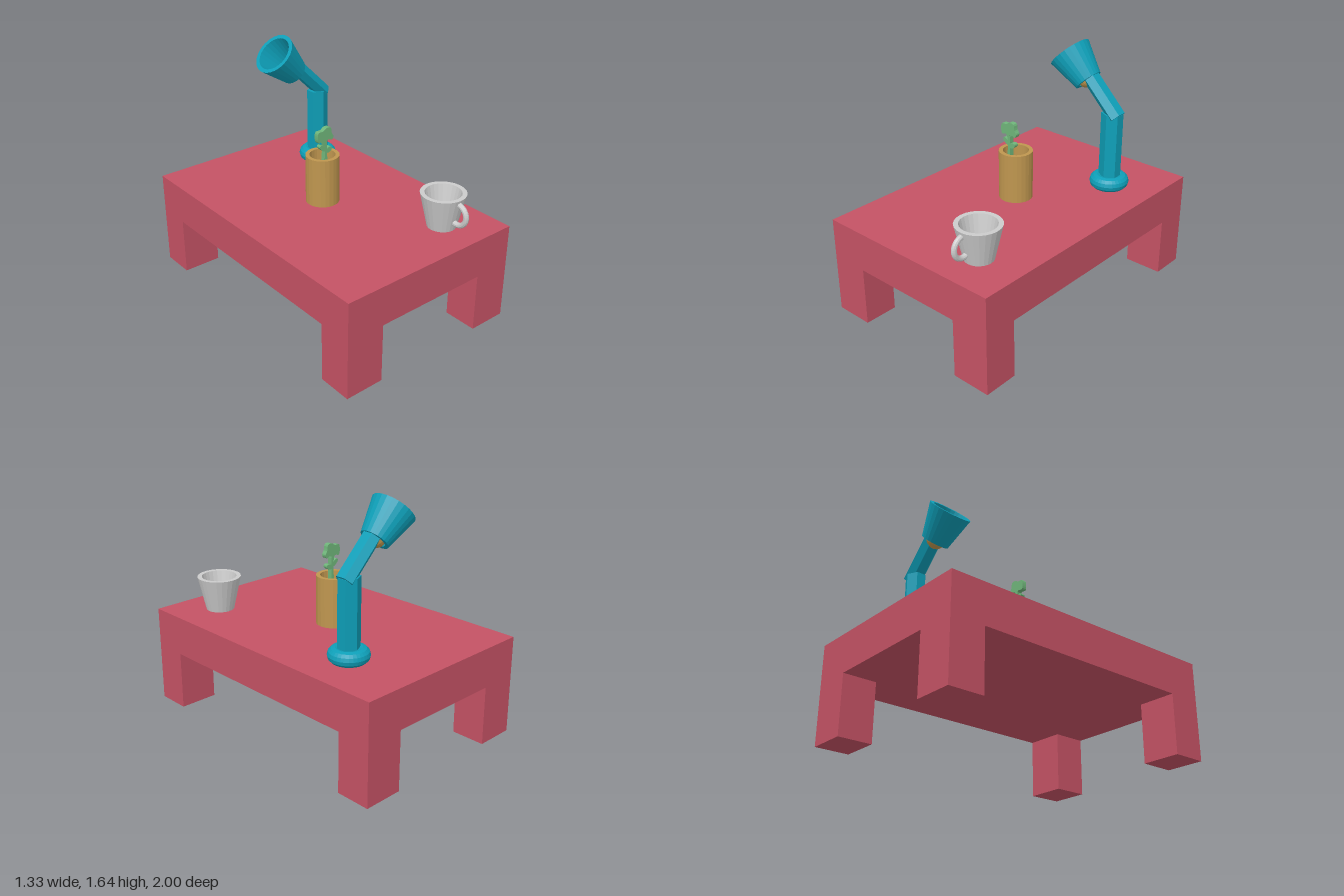
import * as THREE from 'three';

const material = (color) => new THREE.MeshStandardMaterial({ color, flatShading: true });
const red = material(0xc45264);
const teal = material(0x0e9fb8);
const gold = material(0xbf964f);
const green = material(0x6fb57a);
const grey = material(0xcccccc);

function add(parent, name, geometry, mat, x = 0, y = 0, z = 0) {
  const mesh = new THREE.Mesh(geometry, mat);
  mesh.name = name;
  mesh.position.set(x, y, z);
  parent.add(mesh);
  return mesh;
}

function group(parent, name, x = 0, y = 0, z = 0) {
  const g = new THREE.Group();
  g.name = name;
  g.position.set(x, y, z);
  parent.add(g);
  return g;
}

const lathe = (points, sides) =>
  new THREE.LatheGeometry(points.map(([r, y]) => new THREE.Vector2(r, y)), sides);

// Hexagonal bar with its base at the origin
const hexBar = (radius, length, xScale) =>
  new THREE.CylinderGeometry(radius, radius, length, 6).translate(0, length / 2, 0).scale(xScale, 1, 1);

function addTable(model) {
  const table = group(model, 'table');
  add(table, 'tableTop', new THREE.BoxGeometry(1.333, 0.267, 2), red, 0, 0.533, 0);
  for (const sx of [-1, 1]) for (const sz of [-1, 1]) {
    add(table, 'tableLeg', new THREE.BoxGeometry(0.267, 0.4, 0.233), red, sx * 0.533, 0.2, sz * 0.8835);
  }
}

function addLamp(model) {
  const lamp = group(model, 'lamp', 0.36, 0.667, -0.543);
  add(lamp, 'lampBase', new THREE.TorusGeometry(0.084, 0.048, 12, 32).rotateX(Math.PI / 2), teal, 0, 0.048, 0);
  add(lamp, 'lampPost', hexBar(0.065, 0.533, 1.18), teal);

  // Upper arm leans 45 degrees toward the shade
  const arm = add(lamp, 'lampArm', hexBar(0.065, 0.33, 0.82), teal, 0.0425, 0.513, 0);
  arm.rotation.z = Math.PI / 4;

  // Open shade with a bulb in its neck
  const head = group(lamp, 'lampHead', -0.205, 0.711, 0);
  head.rotation.z = Math.PI / 4;
  add(head, 'lampShade', lathe([[0.094, 0], [0.147, 0.228], [0.12, 0.228], [0.069, 0], [0.094, 0]], 24), teal);
  add(head, 'bulb', new THREE.SphereGeometry(0.064, 20, 12), gold, 0, 0.018, 0);
}

function addPlant(model) {
  const plant = group(model, 'pottedPlant', -0.02, 0.667, -0.02);
  add(plant, 'pot', lathe([[0, 0], [0.112, 0], [0.112, 0.333], [0.085, 0.333], [0.085, 0.24], [0, 0.24]], 24), gold);

  // Flat cut-out stem, leaves and crown
  const cutouts = {
    stem: [[-0.048, 0.9], [-0.03, 0.9], [-0.024, 1.03], [-0.03, 1.13], [-0.048, 1.13], [-0.04, 1.05]],
    leftLeaf: [[-0.035, 1.045], [-0.06, 1.053], [-0.083, 1.08], [-0.075, 1.093], [-0.05, 1.083], [-0.034, 1.065]],
    rightLeaf: [[-0.035, 1.035], [-0.01, 1.03], [0.013, 1.045], [0.012, 1.063], [-0.01, 1.067], [-0.034, 1.052]],
    crown: [[-0.04, 1.105], [-0.06, 1.12], [-0.092, 1.115], [-0.1, 1.15], [-0.093, 1.185], [-0.055, 1.188],
      [-0.03, 1.203], [0.005, 1.2], [0.014, 1.16], [0.028, 1.135], [0.018, 1.112], [-0.015, 1.122]],
  };
  for (const [name, points] of Object.entries(cutouts)) {
    const curve = new THREE.CatmullRomCurve3(points.map(([x, y]) => new THREE.Vector3(x, y, 0)), true);
    const outline = curve.getPoints(points.length * 3).slice(0, -1);
    const shape = new THREE.Shape(outline.map((p) => new THREE.Vector2(p.x, p.y)));
    const geometry = new THREE.ExtrudeGeometry(shape, { depth: 0.033, bevelEnabled: false });
    add(plant, name, geometry, green, 0.02, -0.667, 0.02);
  }
}

function addMug(model) {
  const mug = group(model, 'mug', 0.347, 0.667, 0.717);
  add(mug, 'mugBody', lathe([[0, 0], [0.095, 0], [0.148, 0.233], [0.118, 0.233], [0.073, 0.035], [0, 0.035]], 24), grey);

  // Half ring, with its lower end reaching in to the tapered wall
  const ring = new THREE.TorusGeometry(0.07, 0.018, 10, 20, Math.PI + 0.35);
  ring.rotateZ(-Math.PI / 2 - 0.35).rotateY(-Math.PI / 2);
  add(mug, 'mugHandle', ring, grey, -0.003, 0.13, 0.13);
}

export function createModel() {
  const model = new THREE.Group();
  model.name = 'tableWithLamp';
  addTable(model);
  addLamp(model);
  addPlant(model);
  addMug(model);
  return model;
}
